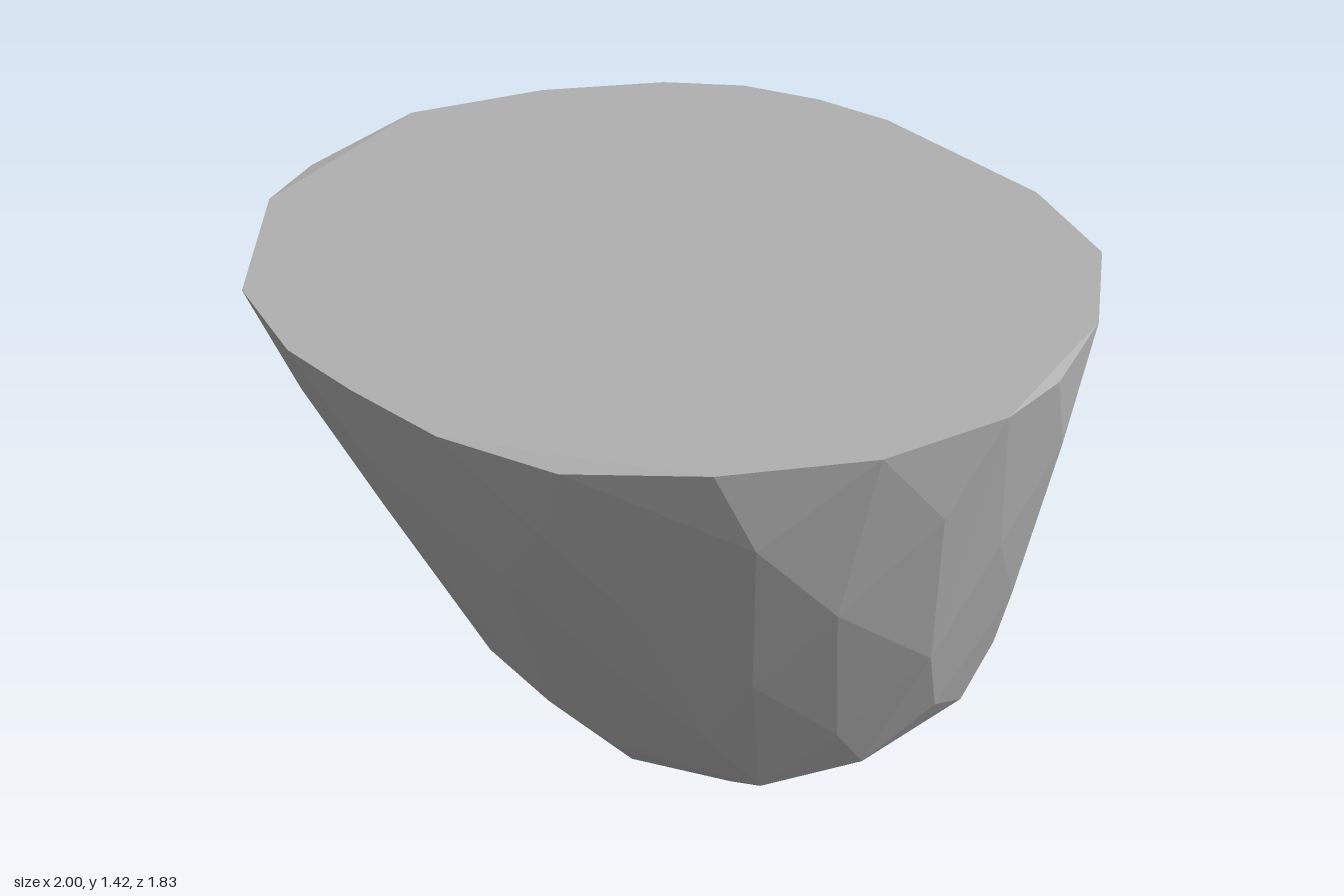
import * as THREE from 'three';
import { ConvexGeometry } from 'three/addons/geometries/ConvexGeometry.js';

// Rim outline as [x, z], with the height of the few chipped corners
const rim = [
  [1, 0, 1.41], [0.98, 0.2], [0.84, 0.48], [0.59, 0.72], [0.31, 0.86, 1.4], [0.04, 0.91],
  [-0.22, 0.87], [-0.44, 0.82], [-0.7, 0.68], [-0.95, 0.31], [-1, 0.1, 1.41], [-0.97, -0.26],
  [-0.77, -0.56], [-0.53, -0.78], [-0.34, -0.88], [-0.13, -0.915], [0.08, -0.905],
  [0.31, -0.85, 1.405], [0.58, -0.75], [0.84, -0.56], [0.97, -0.26],
];

// Cross-sections below the rim: y, xMin, xMax, zMin, zMax, corner count
const sections = [
  [1.2, -0.9, 0.965, -0.88, 0.84, 14],
  [1.0, -0.8, 0.94, -0.855, 0.78, 14],
  [0.75, -0.675, 0.89, -0.8, 0.68, 14],
  [0.5, -0.525, 0.825, -0.745, 0.565, 13],
  [0.31, -0.415, 0.765, -0.695, 0.455, 12],
  [0.2, -0.32, 0.64, -0.62, 0.37, 10],
  [0.1, -0.19, 0.5, -0.45, 0.24, 8],
  [0.04, -0.06, 0.27, -0.2, 0.15, 5],
];

// Small seeded random function for uneven facets
let seed = 7;
const jitter = (amount) => {
  seed = (seed * 16807) % 2147483647;
  return (seed / 2147483647 - 0.5) * 2 * amount;
};

export function createModel() {
  const group = new THREE.Group();
  const stone = new THREE.MeshStandardMaterial({ color: 0xb0b0b0 });
  stone.name = 'grey stone';
  stone.flatShading = true;

  // Flat top and the tapering, off-centre underside
  const points = rim.map(([x, z, y = 1.42]) => new THREE.Vector3(x, y, z));
  sections.forEach(([y, x0, x1, z0, z1, count], level) => {
    for (let i = 0; i < count; i++) {
      const a = ((i + (level % 2) * 0.5 + jitter(0.22)) / count) * Math.PI * 2;
      const s = 1.012 + jitter(0.012);
      points.push(new THREE.Vector3(
        (x0 + x1) / 2 + ((x1 - x0) / 2) * Math.cos(a) * s,
        y + jitter(0.025 * Math.min(1, y * 3)),
        (z0 + z1) / 2 + ((z1 - z0) / 2) * Math.sin(a) * s,
      ));
    }
  });
  points.push(new THREE.Vector3(0.04, 0, 0.07));

  const rock = new THREE.Mesh(new ConvexGeometry(points), stone);
  rock.name = 'rock';
  group.add(rock);
  return group;
}
